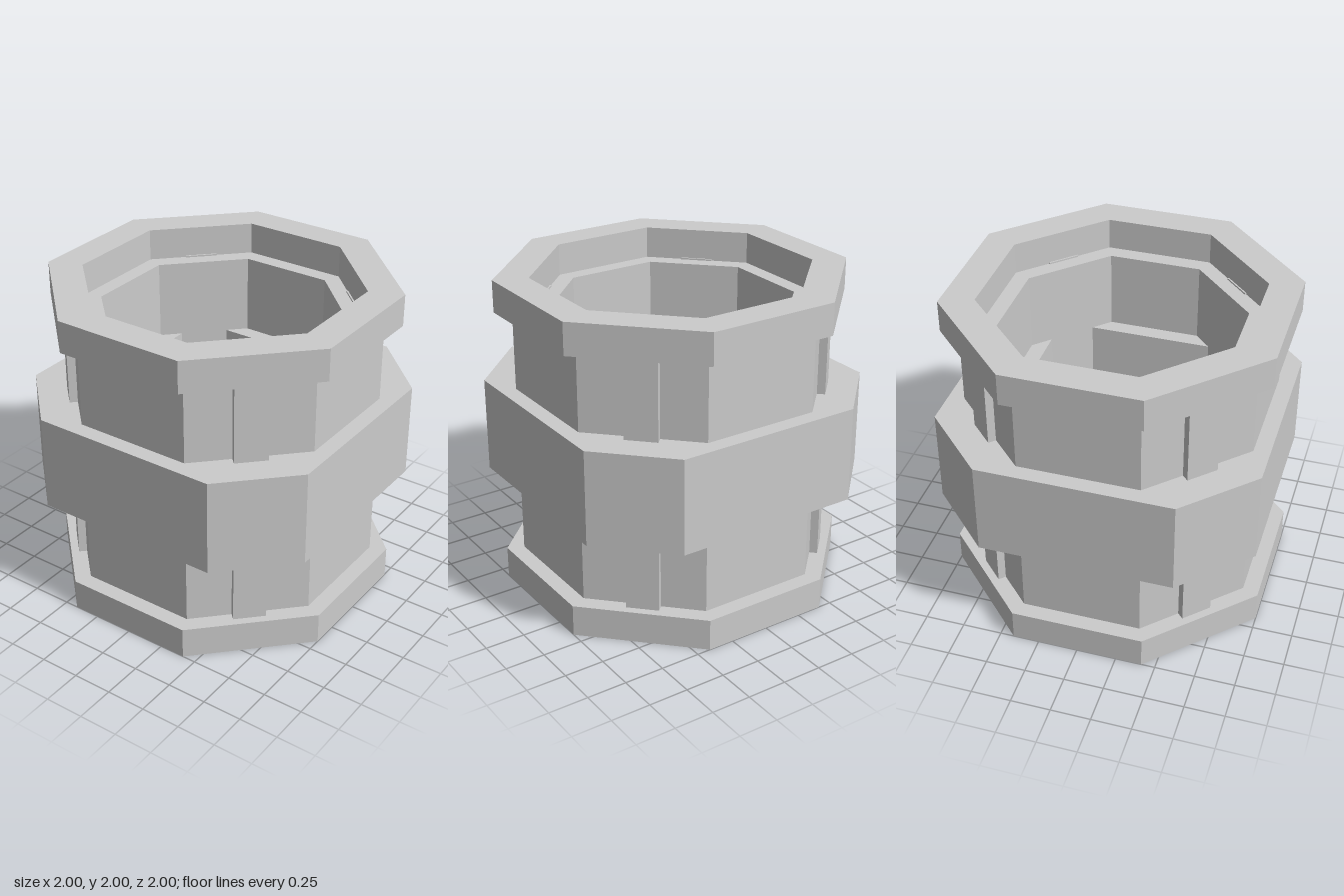
import * as THREE from 'three';

const material = new THREE.MeshStandardMaterial({ color: 0xcccccc, flatShading: true });
const REGULAR = Math.tan(Math.PI / 8);

// Octagon with axis faces at distance d and half-length h
function octagon(d, h = d * REGULAR) {
  return [[d, -h], [d, h], [h, d], [-h, d], [-d, h], [-d, -h], [-h, -d], [h, -d]]
    .map(([x, y]) => new THREE.Vector2(x, y));
}

// Upright octagonal tube between two heights
function octagonTube(name, outer, inner, y0, y1) {
  const shape = new THREE.Shape(outer);
  shape.holes.push(new THREE.Path(inner));
  const geometry = new THREE.ExtrudeGeometry(shape, { depth: y1 - y0, bevelEnabled: false });
  geometry.rotateX(-Math.PI / 2).translate(0, y0, 0);
  const mesh = new THREE.Mesh(geometry, material);
  mesh.name = name;
  return mesh;
}

export function createModel() {
  const model = new THREE.Group();
  model.name = 'octagonalCollar';

  // Main wall, end rims and the wide middle band
  model.add(
    octagonTube('wall', octagon(0.9), octagon(0.7), 0.2, 1.8),
    octagonTube('bottomRim', octagon(1), octagon(0.8), 0, 0.2),
    octagonTube('topRim', octagon(1), octagon(0.8), 1.8, 2),
    octagonTube('middleBand', octagon(1, 0.6), octagon(0.6, 0.434), 0.7, 1.3),
  );

  // Upright ribs on the four diagonal faces
  const ribGeometry = new THREE.BoxGeometry(0.2, 1.62, 0.16).translate(0, 1, 0.87);
  for (let i = 0; i < 4; i++) {
    const rib = new THREE.Mesh(ribGeometry, material);
    rib.name = 'diagonalRib' + (i + 1);
    rib.rotation.y = Math.PI / 4 + (i * Math.PI) / 2;
    model.add(rib);
  }
  return model;
}
